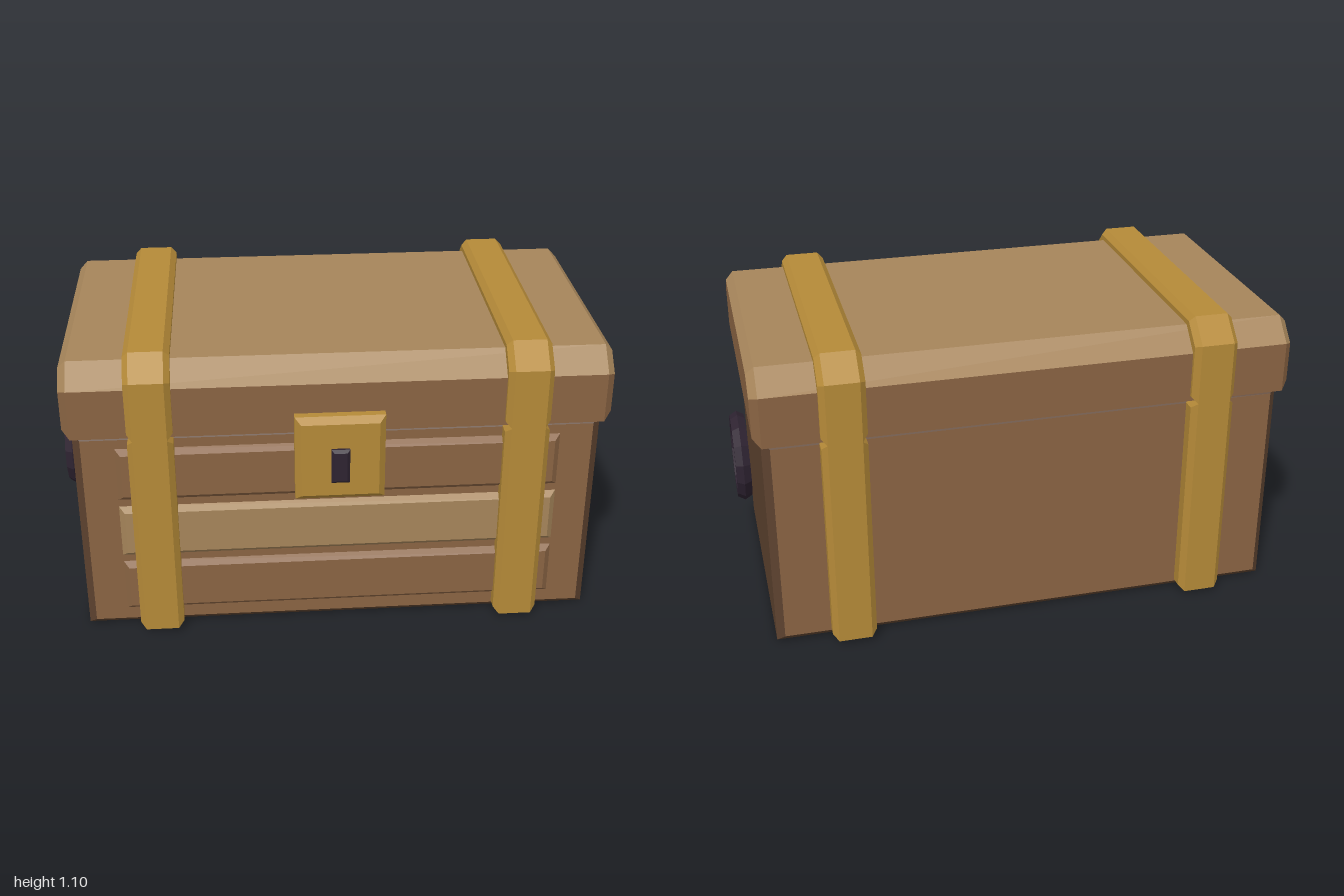
import * as THREE from 'three';

const mat = (name, color) => {
  const m = new THREE.MeshStandardMaterial({ color });
  m.name = name;
  return m;
};

// Extrude an outline to a total depth d centred on z = 0, with a chamfer b round both caps
function slab(points, d, b) {
  const shape = new THREE.Shape(points.map(([x, y]) => new THREE.Vector2(x, y)));
  const g = new THREE.ExtrudeGeometry(shape, {
    depth: d - 2 * b, bevelEnabled: true, bevelSegments: 1,
    bevelSize: b, bevelThickness: b, bevelOffset: -b,
  });
  return g.translate(0, 0, -(d - 2 * b) / 2);
}

const rect = (x0, x1, y0, y1) => [[x0, y0], [x1, y0], [x1, y1], [x0, y1]];

// Arch outline: a box with its two upper corners cut off
const arch = (h, y0, y1, cx, cy) =>
  [[-h, y0], [h, y0], [h, y1 - cy], [h - cx, y1], [-h + cx, y1], [-h, y1 - cy]];

// Give upward-facing triangles material 1 and the rest material 0
function groupByUpward(g) {
  g.clearGroups();
  const n = g.attributes.normal;
  for (let i = 0; i < n.count; i += 3) g.addGroup(i, 3, n.getY(i) > 0.3 ? 1 : 0);
  return g;
}

export function createModel() {
  const wood = mat('brown wood', 0x8a6443);
  const lightWood = mat('light wood', 0xa6855a);
  const darkWood = mat('dark wood', 0x5d422f);
  const gold = mat('gold metal', 0xb58a38);
  const iron = mat('dark iron', 0x2e2331);

  const model = new THREE.Group();
  model.name = 'chest';
  const add = (name, geometry, material, x = 0, y = 0, z = 0) => {
    const m = new THREE.Mesh(geometry, material);
    m.name = name;
    m.position.set(x, y, z);
    model.add(m);
    return m;
  };
  const midZ = -0.017;

  // Body: front and back panels in brown, edges and ends in dark wood
  add('body', slab(rect(-0.924, 0.924, 0, 0.806), 1.014, 0.028), [wood, darkWood], 0, 0, midZ);

  // Lid with cut upper corners and a lighter top
  const lid = slab(arch(0.537, 0.8, 1.062, 0.076, 0.08), 1.904, 0.028).rotateY(Math.PI / 2);
  add('lid', groupByUpward(lid), [wood, lightWood], 0, 0, midZ);

  // Front slats
  [0.178, 0.409, 0.641].forEach((y, i) => {
    add('frontSlat', slab(rect(-0.78, 0.78, -0.102, 0.102), 0.08, 0.02),
      i === 1 ? lightWood : wood, 0, y, 0.47);
  });

  for (const s of [-1, 1]) {
    // Straps: one band round the body, one arched band over the lid
    const lower = slab(rect(-0.569, 0.569, 0.017, 0.8), 0.158, 0.02).rotateY(Math.PI / 2);
    add('bodyStrap', lower, gold, s * 0.652, 0, midZ);
    const upper = slab(arch(0.569, 0.8, 1.1, 0.081, 0.081), 0.158, 0.02).rotateY(Math.PI / 2);
    add('lidStrap', upper, gold, s * 0.652, 0, midZ);

    // Ring handles on the ends
    const ring = new THREE.TorusGeometry(0.136, 0.03, 6, 14)
      .rotateZ(Math.PI / 2).rotateY(Math.PI / 2).toNonIndexed();
    ring.computeVertexNormals();
    add('ringHandle', ring, iron, s * 0.974, 0.507, midZ);
  }

  // Lock plate and keyhole
  add('lockPlate', slab(rect(-0.157, 0.157, -0.161, 0.161), 0.1, 0.022), gold, -0.002, 0.712, 0.52);
  add('keyhole', slab(rect(-0.032, 0.032, -0.065, 0.065), 0.06, 0.01), iron, -0.002, 0.693, 0.559);

  return model;
}
